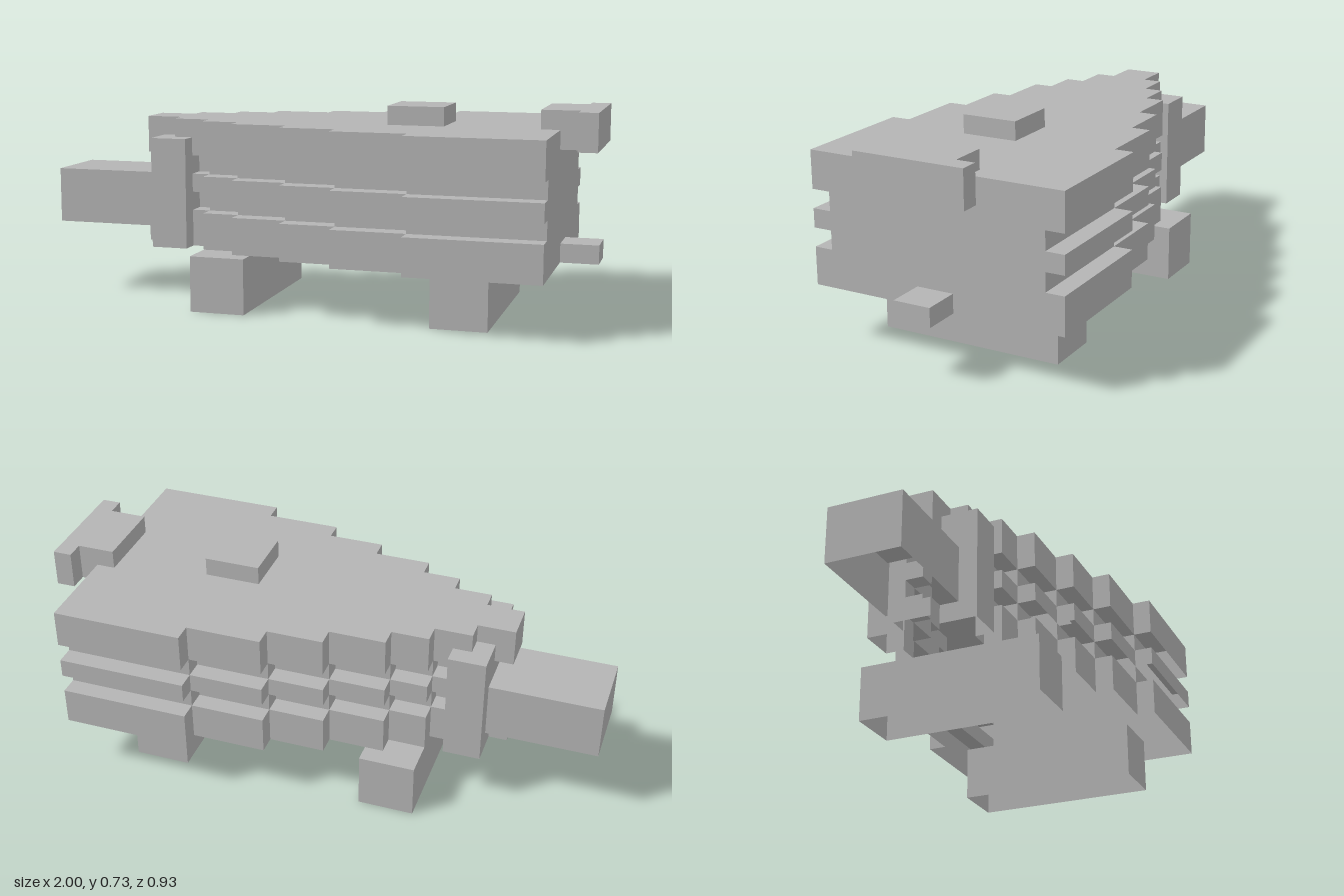
import * as THREE from 'three';

const U = 1 / 15; // size of one building block

// Each face: outward normal and its four corners, counter-clockwise from outside.
// Undersides are left open, so the model is a hollow shell seen from below.
const FACES = [
  { n: [1, 0, 0], c: [[1, 0, 1], [1, 0, 0], [1, 1, 0], [1, 1, 1]] },
  { n: [-1, 0, 0], c: [[0, 0, 0], [0, 0, 1], [0, 1, 1], [0, 1, 0]] },
  { n: [0, 1, 0], c: [[0, 1, 1], [1, 1, 1], [1, 1, 0], [0, 1, 0]] },
  { n: [0, 0, 1], c: [[0, 0, 1], [1, 0, 1], [1, 1, 1], [0, 1, 1]] },
  { n: [0, 0, -1], c: [[1, 0, 0], [0, 0, 0], [0, 1, 0], [1, 1, 0]] },
];

export function createModel() {
  const group = new THREE.Group();
  const cells = new Map();
  const key = (x, y, z) => `${x},${y},${z}`;

  // Fill a box of blocks; the first part to claim a block keeps it
  const fill = (part, x0, x1, y0, y1, z0, z1) => {
    for (let x = x0; x < x1; x++)
      for (let y = y0; y < y1; y++)
        for (let z = z0; z < z1; z++) {
          const k = key(x, y, z);
          if (!cells.has(k)) cells.set(k, { part, p: [x, y, z] });
        }
  };

  // Body: stepped wedge, widening towards +x, with two grooves round the sides
  const steps = [-10, -8, -6, -4, -1, 2, 6, 13];
  const layers = [[3, 5, 0], [5, 6, 1], [6, 7, 0], [7, 8, 1], [8, 10, 0]];
  for (const [y0, y1, inset] of layers)
    for (let i = 0; i < steps.length - 1; i++) {
      const w = i + 1 - inset;
      fill('body', steps[i], steps[i + 1], y0, y1, -w, w);
    }

  // Collar and barrel at the narrow end
  fill('collar', -9, -7, 3, 9, -3, 3);
  fill('barrel', -15, -9, 4, 7, -2, 2);

  // Cross feet
  fill('narrowEndFoot', -6, -3, 0, 3, -5, 5);
  fill('wideEndFoot', 7, 10, 0, 3, -5, 5);

  // Hatch on the roof
  fill('hatch', 4, 7, 10, 11, -1, 2);

  // T-shaped handle and small peg at the wide end
  fill('handleNeck', 12, 14, 9, 11, -2, 2);
  fill('handleBar', 14, 15, 9, 11, -3, 3);
  fill('peg', 13, 15, 3, 4, -1, 1);

  // Skin the exposed faces of every part
  const parts = {};
  for (const { part, p } of cells.values()) {
    const a = (parts[part] ??= { pos: [], nor: [], idx: [] });
    for (const { n, c } of FACES) {
      if (cells.has(key(p[0] + n[0], p[1] + n[1], p[2] + n[2]))) continue;
      const b = a.pos.length / 3;
      for (const v of c) {
        a.pos.push(...v.map((d, i) => (p[i] + d) * U));
        a.nor.push(...n);
      }
      a.idx.push(b, b + 1, b + 2, b, b + 2, b + 3);
    }
  }

  const grey = new THREE.MeshStandardMaterial({ color: 0xb4b4b4, side: THREE.DoubleSide });
  grey.name = 'grey';
  for (const [name, a] of Object.entries(parts)) {
    const geo = new THREE.BufferGeometry();
    geo.setAttribute('position', new THREE.Float32BufferAttribute(a.pos, 3));
    geo.setAttribute('normal', new THREE.Float32BufferAttribute(a.nor, 3));
    geo.setIndex(a.idx);
    const mesh = new THREE.Mesh(geo, grey);
    mesh.name = name;
    group.add(mesh);
  }
  return group;
}
